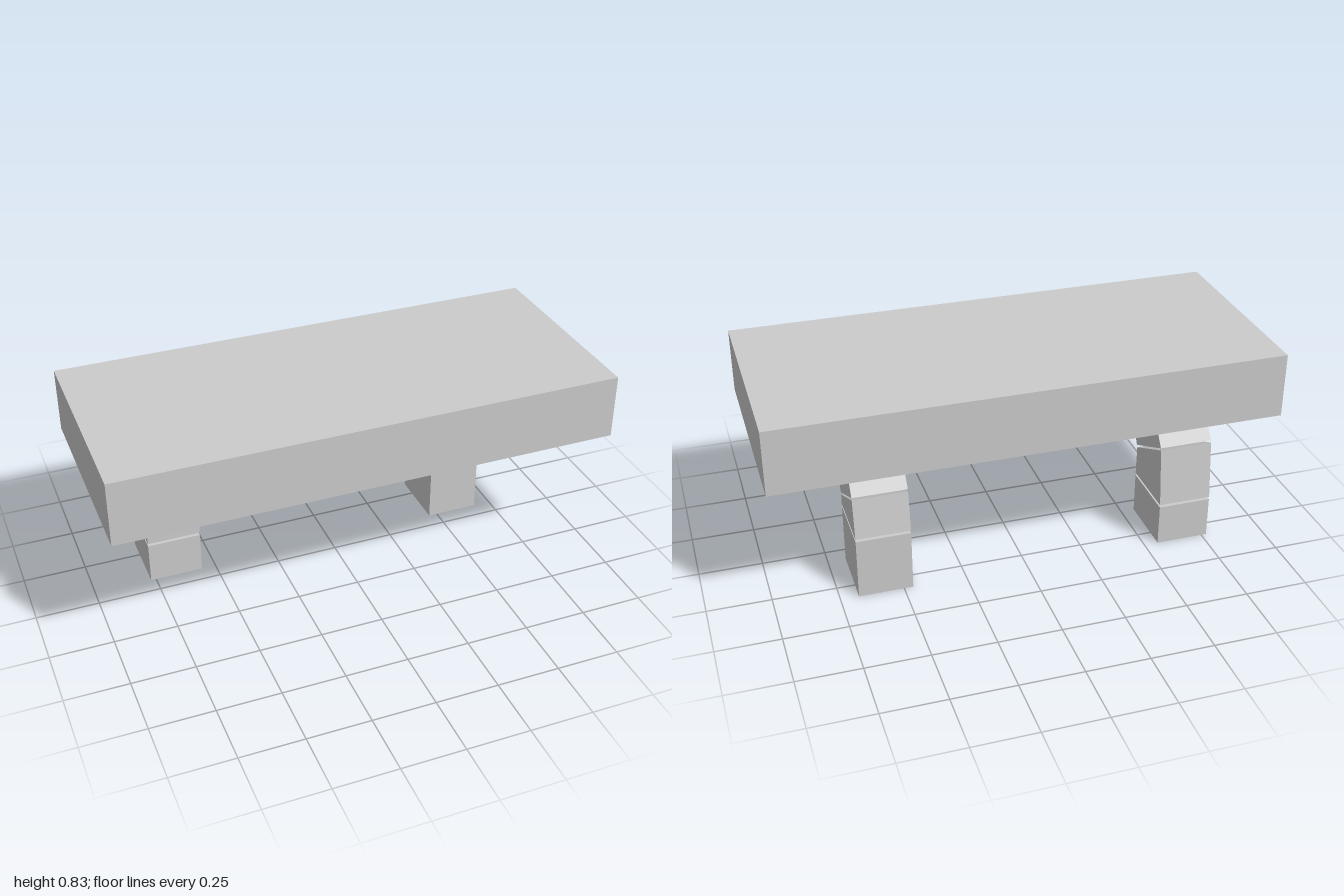
import * as THREE from 'three';

const SLAB_BOTTOM = 0.57, SLAB_TOP = 0.83;
const LEG_WIDTH = 0.214;

export function createModel() {
  const model = new THREE.Group();
  model.name = 'bench';
  const material = new THREE.MeshStandardMaterial({ color: 0xcccccc, flatShading: true });

  // One stone: a side outline of [z, y] corners, extruded along x
  function stone(name, outline) {
    const shape = new THREE.Shape(outline.map(([z, y]) => new THREE.Vector2(-z, y)));
    const geometry = new THREE.ExtrudeGeometry(shape, { depth: LEG_WIDTH, bevelEnabled: false });
    geometry.rotateY(Math.PI / 2).translate(-LEG_WIDTH / 2, 0, 0);
    const mesh = new THREE.Mesh(geometry, material);
    mesh.name = name;
    return mesh;
  }

  // A curved bracket of wedge stones standing on a block; joint is the block's height
  function leg(name, x, joint) {
    const top = SLAB_BOTTOM;
    const wedges = [
      [[0.283, top], [0.283, 0.479], [0.153, 0.476], [0.153, top]],
      [[0.142, top], [0.142, 0.472], [0.03, 0.434], [-0.003, top]],
      [[-0.013, top], [0.018, 0.431], [-0.032, 0.37], [-0.184, top]],
      [[-0.195, top], [-0.037, 0.361], [-0.063, 0.313], [-0.299, 0.429]],
      [[-0.068, 0.305], [-0.066, joint + 0.011], [-0.327, joint + 0.011], [-0.302, 0.421]],
    ];
    const group = new THREE.Group();
    group.name = name;
    wedges.forEach((outline, i) => group.add(stone(`wedgeStone${i + 1}`, outline)));
    group.add(stone('footBlock', [[-0.066, 0], [-0.327, 0], [-0.327, joint], [-0.066, joint]]));
    group.position.x = x;
    return group;
  }

  // Seat slab
  const slab = new THREE.Mesh(
    new THREE.BoxGeometry(2, SLAB_TOP - SLAB_BOTTOM, 0.84), material);
  slab.name = 'seat';
  slab.position.y = (SLAB_TOP + SLAB_BOTTOM) / 2;

  // The two legs have their lowest joint at different heights
  model.add(slab, leg('leftLeg', 0.571, 0.25), leg('rightLeg', -0.664, 0.17));
  return model;
}
